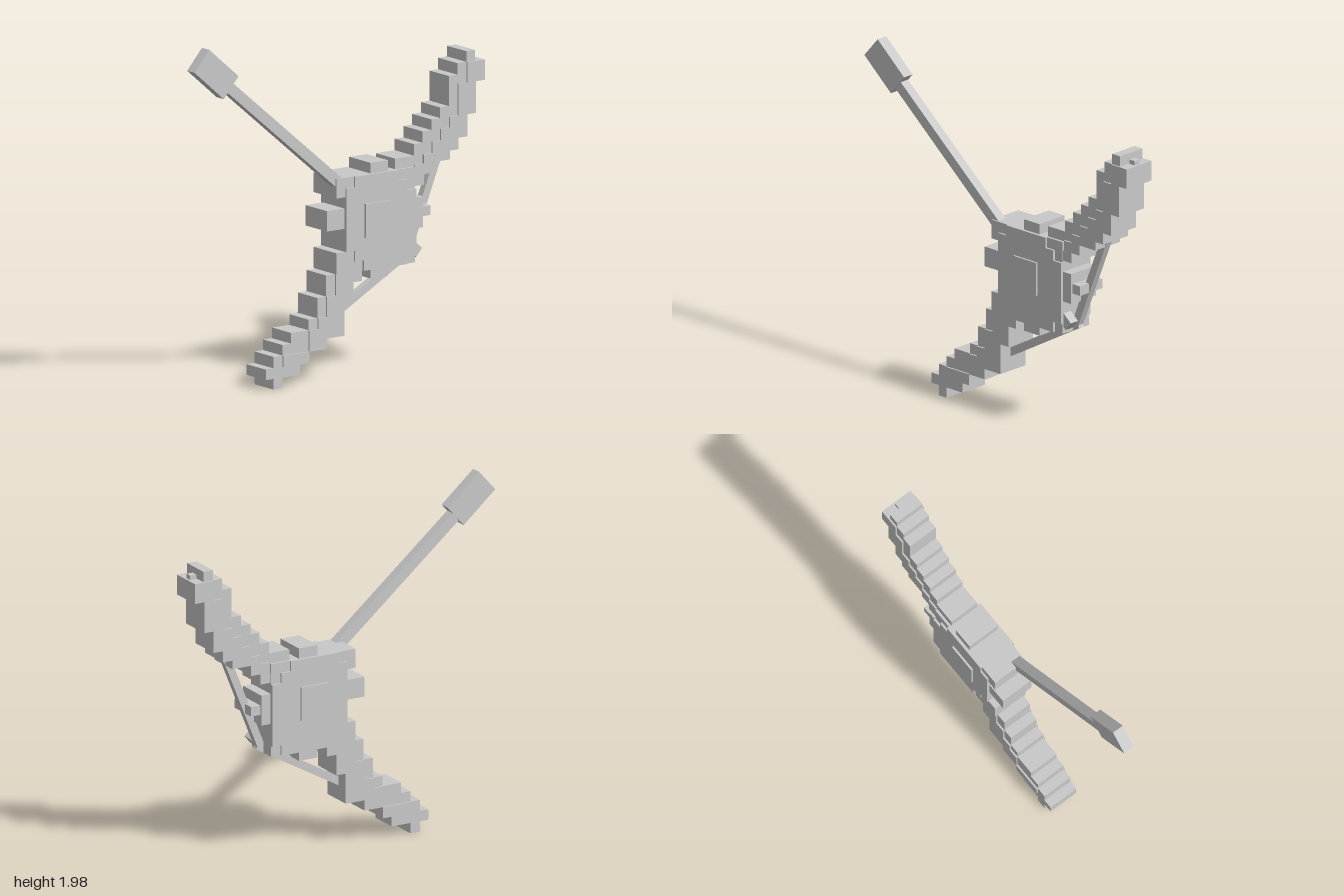
import * as THREE from 'three';

export function createModel() {
  const group = new THREE.Group();
  const grey = new THREE.MeshStandardMaterial({ color: 0xc8c8c8 });
  grey.name = 'light grey';

  const add = (name, geometry) => {
    const mesh = new THREE.Mesh(geometry, grey);
    mesh.name = name;
    group.add(mesh);
    return mesh;
  };

  // Box given by its bounds, centred on z = 0
  const block = (name, x0, x1, y0, y1, half) =>
    add(name, new THREE.BoxGeometry(x1 - x0, y1 - y0, half * 2))
      .position.set((x0 + x1) / 2, (y0 + y1) / 2, 0);

  // Stepped slab from stacked rows [bottom, top, left, right]
  const stepped = (name, rows, half) => {
    const points = [];
    rows.forEach(([y0, y1, , x1]) => points.push([x1, y0], [x1, y1]));
    [...rows].reverse().forEach(([y0, y1, x0]) => points.push([x0, y1], [x0, y0]));
    const shape = new THREE.Shape(points.map(([x, y]) => new THREE.Vector2(x, y)));
    const geometry = new THREE.ExtrudeGeometry(shape, { depth: half * 2, bevelEnabled: false });
    add(name, geometry.translate(0, 0, -half));
  };

  // Straight square rod between two points
  const rod = (name, ax, ay, bx, by, width, depth, z) => {
    const mesh = add(name, new THREE.BoxGeometry(Math.hypot(bx - ax, by - ay), width, depth));
    mesh.position.set((ax + bx) / 2, (ay + by) / 2, z);
    mesh.rotation.z = Math.atan2(by - ay, bx - ax);
  };

  // Lower limb, with a slightly thicker inner staircase
  stepped('lowerLimb', [
    [0, 0.06, -0.445, -0.385], [0.06, 0.12, -0.5, -0.265],
    [0.12, 0.185, -0.445, -0.205], [0.185, 0.245, -0.385, -0.085],
    [0.245, 0.305, -0.325, 0.035], [0.305, 0.365, -0.205, 0.035],
    [0.365, 0.42, -0.145, 0.035], [0.42, 0.48, -0.145, 0.095],
    [0.48, 0.54, -0.085, 0.095], [0.54, 0.6, -0.085, 0.155],
    [0.6, 0.72, -0.025, 0.095],
  ], 0.09);
  stepped('lowerLimbInner', [
    [0.12, 0.185, -0.385, -0.205], [0.185, 0.245, -0.205, -0.085],
    [0.245, 0.305, -0.205, 0.035], [0.305, 0.365, -0.145, 0.035],
    [0.365, 0.42, -0.085, 0.035], [0.42, 0.48, -0.085, 0.095],
    [0.48, 0.54, -0.025, 0.095], [0.54, 0.6, -0.025, 0.155],
  ], 0.1);

  // Upper limb
  stepped('upperLimb', [
    [1.03, 1.09, 0.4, 0.58], [1.09, 1.15, 0.39, 0.64],
    [1.15, 1.2, 0.39, 0.76], [1.2, 1.265, 0.52, 0.82],
    [1.265, 1.33, 0.58, 0.88], [1.33, 1.39, 0.64, 0.88],
    [1.39, 1.45, 0.7, 0.94], [1.45, 1.57, 0.76, 0.94],
    [1.57, 1.62, 0.76, 1], [1.62, 1.685, 0.82, 1],
    [1.685, 1.745, 0.88, 0.94],
  ], 0.09);
  stepped('upperLimbInner', [
    [1.03, 1.09, 0.455, 0.58], [1.09, 1.15, 0.52, 0.64],
    [1.15, 1.2, 0.58, 0.76], [1.2, 1.265, 0.64, 0.82],
    [1.265, 1.33, 0.7, 0.88], [1.33, 1.39, 0.76, 0.88],
    [1.39, 1.57, 0.82, 0.94], [1.57, 1.685, 0.88, 1],
  ], 0.1);

  // Central hub: square core, notched faces and a raised plate
  block('hubCore', 0.035, 0.515, 0.6, 1.14, 0.105);
  stepped('hubFaces', [
    [0.6, 0.66, 0.155, 0.455], [0.66, 0.72, 0.095, 0.515],
    [0.72, 1.02, 0.035, 0.515], [1.02, 1.08, 0.035, 0.455],
    [1.08, 1.14, 0.095, 0.395],
  ], 0.118);
  block('hubPlate', 0.16, 0.335, 0.785, 0.98, 0.13);

  // Teeth around the hub
  block('topTooth', 0.215, 0.335, 1.1, 1.2, 0.1);
  block('bottomTooth', 0.215, 0.335, 0.545, 0.65, 0.1);
  block('sideTooth', -0.085, 0.05, 0.85, 0.965, 0.1);
  block('cornerTooth', -0.025, 0.095, 1.03, 1.14, 0.107);
  block('lowerCornerTooth', -0.025, 0.095, 0.6, 0.72, 0.107);
  block('gripTooth', 0.5, 0.575, 0.79, 0.965, 0.1);
  block('gripTip', 0.57, 0.635, 0.85, 0.905, 0.09);

  // Drawn string and the knot at the limb tip
  rod('upperString', 0.78, 1.26, 0.53, 0.64, 0.045, 0.042, 0);
  rod('lowerString', 0.55, 0.645, -0.02, 0.325, 0.045, 0.04, 0);
  rod('stringKnot', 0.945, 1.69, 0.985, 1.69, 0.04, 0.04, 0);

  // Arrow running through the hub
  rod('arrowShaft', -0.8, 1.79, 0.55, 0.65, 0.062, 0.058, 0.068);
  rod('arrowHead', -0.95, 1.925, -0.748, 1.75, 0.155, 0.068, 0.07);

  return group;
}
